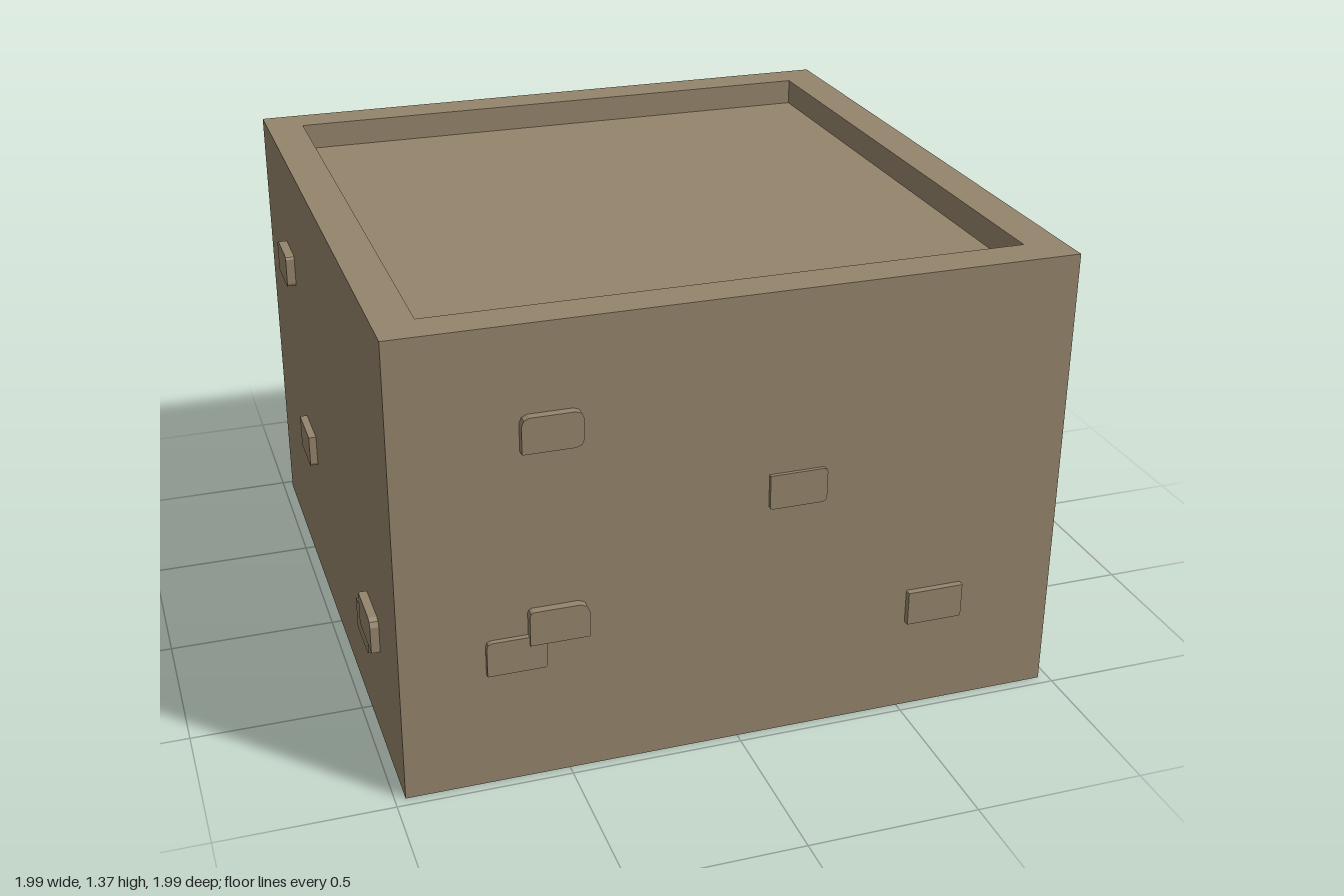
import * as THREE from 'three';

const HALF = 0.97, HEIGHT = 1.365, INNER = 0.856, DEPTH = 0.08;
const BRICK_W = 0.168, BRICK_H = 0.103, SUNK = 0.02;

// Bricks per wall: [left, bottom, how far it stands out, corner cuts: TL, TR, BR, BL]
// "left" runs along the wall as seen from outside.
const WALLS = [
  { name: 'frontBricks', turn: 0, bricks: [
    [-0.622, 1.01, 0.025, [0.022, 0.022, 0.022, 0]],
    [0.075, 0.728, 0.011, [0, 0.012, 0.012, 0.008]],
    [-0.731, 0.354, 0.016, [0.014, 0, 0.008, 0]],
    [-0.612, 0.434, 0.025, [0.012, 0.026, 0, 0]],
    [0.51, 0.285, 0.02, [0, 0, 0.006, 0]],
  ] },
  { name: 'leftBricks', turn: Math.PI / 2, bricks: [
    [-0.513, 0.953, 0.024, [0.024, 0.01, 0, 0]],
    [0.284, 0.579, 0.016, [0, 0, 0.012, 0]],
    [0.552, 0.204, 0.016, [0, 0, 0, 0]],
    [-0.693, 0.273, 0.014, [0.016, 0, 0.012, 0]],
    [-0.574, 0.354, 0.022, [0, 0.016, 0, 0]],
  ] },
  { name: 'backBricks', turn: Math.PI, bricks: [
    [-0.632, 0.412, 0.028, [0.014, 0, 0.022, 0]],
    [-0.518, 0.495, 0.012, [0, 0.026, 0, 0]],
    [0.595, 0.738, 0.02, [0, 0, 0.012, 0]],
    [0.368, 0.333, 0.012, [0, 0.012, 0, 0]],
    [0.52, 0.253, 0.02, [0, 0.016, 0.012, 0]],
  ] },
  { name: 'rightBricks', turn: -Math.PI / 2, bricks: [
    [-0.629, 0.963, 0.027, [0.022, 0.01, 0.012, 0]],
    [-0.44, 0.418, 0.023, [0, 0, 0.012, 0]],
    [0.418, 0.228, 0.014, [0.014, 0, 0.022, 0]],
    [0.535, 0.31, 0.025, [0, 0.022, 0, 0]],
  ] },
];

// Flat brick with each corner cut off by its own amount
function brickGeometry(out, [tl, tr, br, bl]) {
  const w = BRICK_W, h = BRICK_H;
  const corners = [[0, 0, bl], [w, 0, br], [w, h, tr], [0, h, tl]];
  const points = [];
  corners.forEach(([x, y, cut], i) => {
    if (!cut) { points.push(new THREE.Vector2(x, y)); return; }
    const sx = x ? -1 : 1, sy = y ? -1 : 1;
    const onSide = new THREE.Vector2(x, y + sy * cut);
    const bevel = new THREE.Vector2(x + sx * cut * 0.3, y + sy * cut * 0.3);
    const onRow = new THREE.Vector2(x + sx * cut, y);
    // even corners arrive along the side, odd ones along the row
    points.push(...(i % 2 === 0 ? [onSide, bevel, onRow] : [onRow, bevel, onSide]));
  });
  return new THREE.ExtrudeGeometry(new THREE.Shape(points), { depth: out + SUNK, bevelEnabled: false });
}

export function createModel() {
  const model = new THREE.Group();
  model.name = 'stoneBlock';
  const stone = new THREE.MeshStandardMaterial({ color: 0x93846b });
  stone.name = 'stone';

  // Square block with a raised rim around a sunken top, as a four-sided lathe
  const profile = [
    [0, 0], [HALF, 0], [HALF, HEIGHT], [INNER, HEIGHT],
    [INNER, HEIGHT - DEPTH], [0, HEIGHT - DEPTH],
  ].map(([r, y]) => new THREE.Vector2(r * Math.SQRT2, y));
  const blockGeometry = new THREE.LatheGeometry(profile, 4, Math.PI / 4).toNonIndexed();
  blockGeometry.computeVertexNormals();
  const block = new THREE.Mesh(blockGeometry, stone);
  block.name = 'blockWithRim';
  model.add(block);

  // Bricks standing out of the four walls
  for (const { name, turn, bricks } of WALLS) {
    const wall = new THREE.Group();
    wall.name = name;
    wall.rotation.y = turn;
    for (const [left, bottom, out, cuts] of bricks) {
      const brick = new THREE.Mesh(brickGeometry(out, cuts), stone);
      brick.name = 'brick';
      brick.position.set(left, bottom, HALF - SUNK);
      wall.add(brick);
    }
    model.add(wall);
  }
  return model;
}
